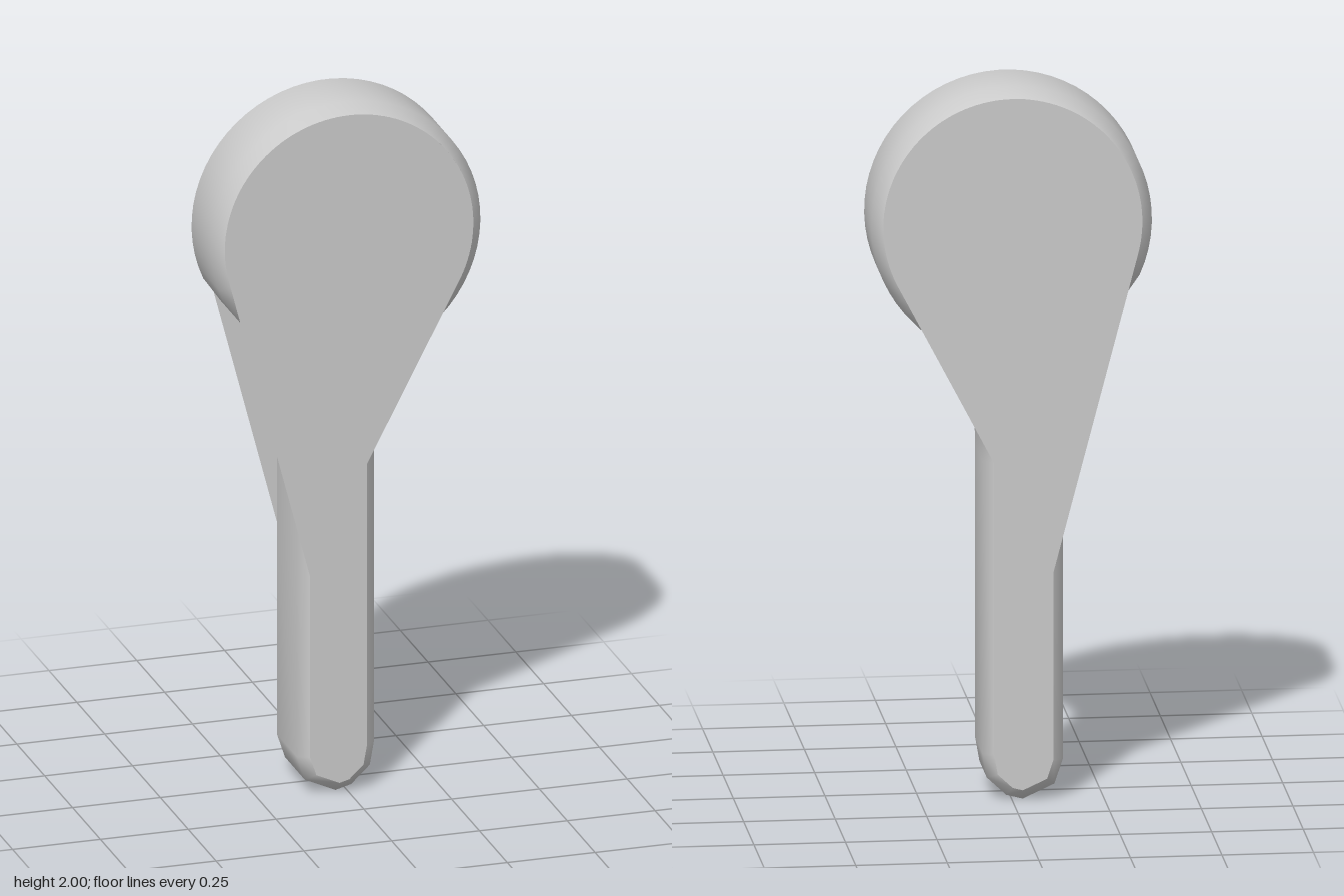
import * as THREE from 'three';

const HEAD_Y = 1.617, HEAD_R = 0.383, HALF = 0.118, BEVEL = 0.029;

// Points on a circle around the head centre, angles in degrees
function headArc(radius, from, to, count) {
  return Array.from({ length: count + 1 }, (_, i) => {
    const a = THREE.MathUtils.degToRad(from + ((to - from) * i) / count);
    return new THREE.Vector2(radius * Math.cos(a), HEAD_Y + radius * Math.sin(a));
  });
}
const points = (list) => list.map(([x, y]) => new THREE.Vector2(x, y));

// Move a counter-clockwise closed outline inwards
function inset(outline, d) {
  const n = outline.length;
  return outline.map((p, i) => {
    const a = p.clone().sub(outline[(i + n - 1) % n]).normalize();
    const b = outline[(i + 1) % n].clone().sub(p).normalize();
    const m = new THREE.Vector2(-a.y - b.y, a.x + b.x).normalize();
    return p.clone().addScaledVector(m, d / Math.max(0.6, m.dot(new THREE.Vector2(-a.y, a.x))));
  });
}

export function createModel() {
  const group = new THREE.Group();
  const material = new THREE.MeshStandardMaterial({ color: 0xcccccc, side: THREE.DoubleSide });

  // Handle outline: rounded foot, neck blends and round head
  const foot = points([[-0.14, 0.11], [-0.117, 0.04], [-0.03, 0], [0.015, 0.012], [0.068, 0.062], [0.08, 0.13]]);
  const outline = [
    ...foot,
    ...points([[0.08, 0.95], [0.082, 1.04], [0.098, 1.12], [0.135, 1.195], [0.19, 1.265], [0.25, 1.325]]),
    ...headArc(HEAD_R, -40, 204, 44),
    ...points([[-0.3, 1.39], [-0.235, 1.325], [-0.18, 1.25], [-0.149, 1.17], [-0.14, 1.08], [-0.14, 0.64]]),
  ];
  const inner = inset(outline, BEVEL);

  // Rim: side wall with a bevel towards each face
  const rings = [[inner, HALF], [outline, HALF - BEVEL], [outline, BEVEL - HALF], [inner, -HALF]];
  const n = outline.length, pos = [], index = [];
  rings.forEach(([ring, z]) => ring.forEach((p) => pos.push(p.x, p.y, z)));
  for (let r = 0; r < rings.length - 1; r++) {
    for (let i = 0; i < n; i++) {
      const a = r * n + i, b = r * n + ((i + 1) % n);
      index.push(a, a + n, b, b, a + n, b + n);
    }
  }
  const rimGeometry = new THREE.BufferGeometry();
  rimGeometry.setAttribute('position', new THREE.Float32BufferAttribute(pos, 3));
  rimGeometry.setIndex(index);
  rimGeometry.computeVertexNormals();
  const rim = new THREE.Mesh(rimGeometry, material);
  rim.name = 'rim';
  group.add(rim);

  // Flat faces: straight edges bridge the hollow neck
  const face = new THREE.Shape([
    ...inner.slice(0, foot.length),
    new THREE.Vector2(0.051, 0.95),
    ...headArc(HEAD_R - BEVEL, -26, 195, 40),
    new THREE.Vector2(-0.111, 0.64),
  ]);
  for (const [name, side] of [['frontFace', 1], ['backFace', -1]]) {
    const plate = new THREE.Mesh(new THREE.ShapeGeometry(face), material);
    if (side < 0) {
      // Mirror the plate and turn its corners round so it faces backwards
      plate.geometry.scale(1, 1, -1);
      const idx = plate.geometry.index.array;
      for (let i = 0; i < idx.length; i += 3) [idx[i], idx[i + 1]] = [idx[i + 1], idx[i]];
      plate.geometry.computeVertexNormals();
    }
    plate.position.z = side * HALF;
    plate.name = name;
    group.add(plate);
  }
  return group;
}
